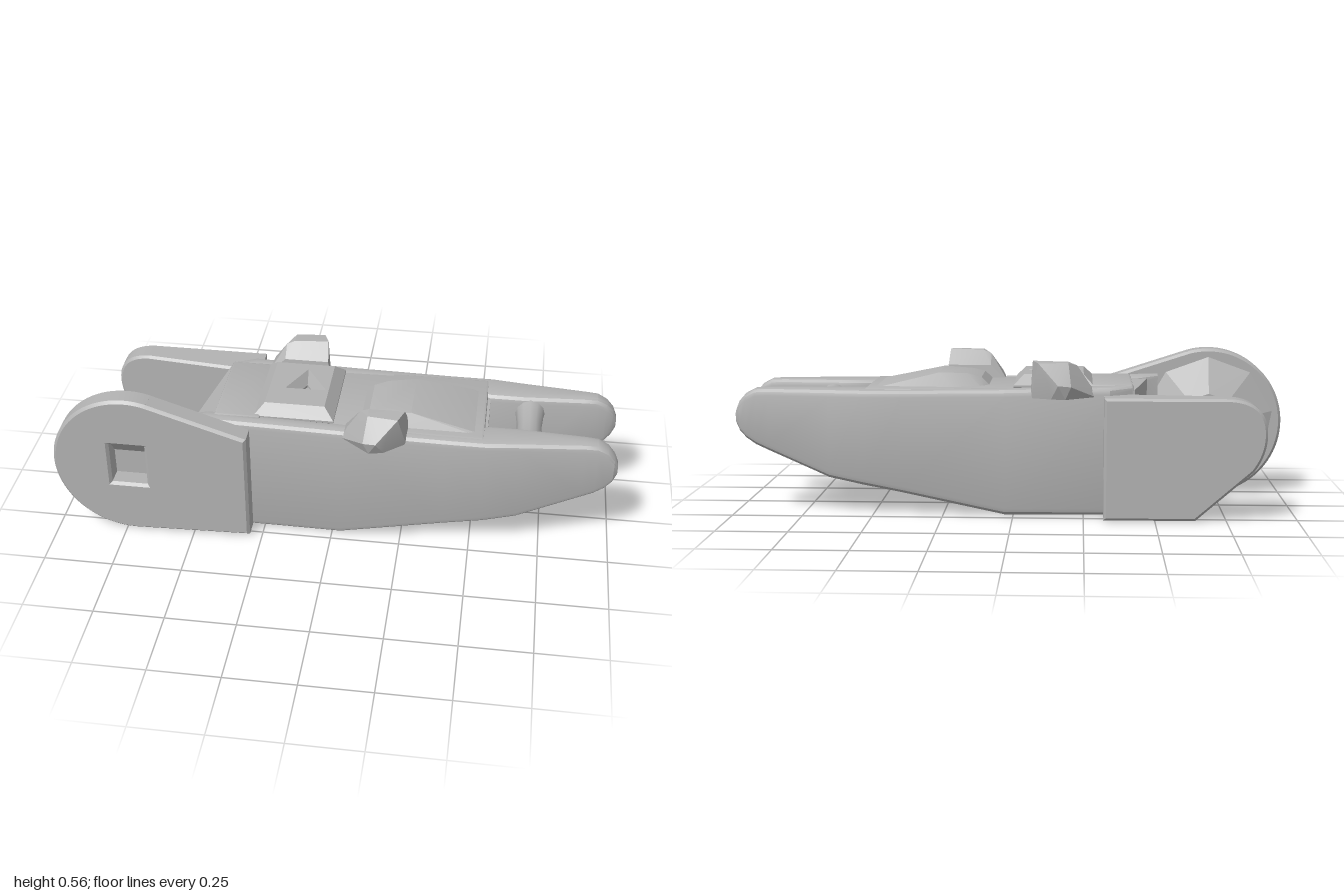
import * as THREE from 'three';
import { toCreasedNormals } from 'three/addons/utils/BufferGeometryUtils.js';
import { RoundedBoxGeometry } from 'three/addons/geometries/RoundedBoxGeometry.js';
import { ConvexGeometry } from 'three/addons/geometries/ConvexGeometry.js';

const hullGrey = new THREE.MeshStandardMaterial({ color: 0xb2b2b2 });
hullGrey.name = 'hull grey';

export function createModel() {
  const model = new THREE.Group();

  const add = (name, geometry, crease = 0.45) => {
    const mesh = new THREE.Mesh(toCreasedNormals(geometry, crease), hullGrey);
    mesh.name = name;
    model.add(mesh);
    return mesh;
  };
  const vec = (p) => new THREE.Vector2(p[0], p[1]);
  const shapeOf = (points) => new THREE.Shape(points.map(vec));
  const hull = (points) => new ConvexGeometry(points.map((q) => new THREE.Vector3(...q)));

  // Bevelled slab whose outer outline and faces land exactly on the given sizes
  const slab = (shape, z0, z1, bevel) => {
    const g = new THREE.ExtrudeGeometry(shape, {
      depth: z1 - z0 - 2 * bevel, bevelSize: bevel, bevelThickness: bevel,
      bevelOffset: -bevel, bevelSegments: 1, curveSegments: 24,
    });
    return g.translate(0, 0, z0 + bevel);
  };
  const box = (name, x0, x1, y0, y1, z0, z1, r = 0.008) => {
    const g = new RoundedBoxGeometry(x1 - x0, y1 - y0, z1 - z0, 1, r);
    return add(name, g.translate((x0 + x1) / 2, (y0 + y1) / 2, (z0 + z1) / 2));
  };

  // Side beam: rounded sections [x, bottom, top, inner z, outer z] joined along x
  const beam = (stations, side) => {
    const pos = [], index = [], n = 16;
    const tri = (a, b, c) => (side > 0 ? index.push(a, b, c) : index.push(a, c, b));
    for (const [x, y0, y1, zi, zo] of stations) {
      const r = Math.min(0.026, (zo - zi) * 0.45, (y1 - y0) * 0.45);
      for (let k = 0; k < n; k++) {
        const q = Math.floor(k / 4), a = (q + (k % 4) / 3) * Math.PI / 2;
        const z = (q === 0 || q === 3 ? zo - r : zi + r) + r * Math.cos(a);
        const y = (q < 2 ? y1 - r : y0 + r) + r * Math.sin(a);
        pos.push(x, y, side * z);
      }
    }
    for (let i = 0; i < stations.length - 1; i++) {
      for (let k = 0; k < n; k++) {
        const a = i * n + k, b = i * n + (k + 1) % n;
        tri(a, a + n, b);
        tri(b, a + n, b + n);
      }
    }
    const last = (stations.length - 1) * n;
    for (let k = 1; k < n - 1; k++) {
      tri(0, k, k + 1);
      tri(last, last + k + 1, last + k);
    }
    const g = new THREE.BufferGeometry();
    g.setAttribute('position', new THREE.Float32BufferAttribute(pos, 3));
    g.setIndex(index);
    return g;
  };

  // Long side beams ending in the two tapered prongs, with an inner bottom flange
  for (const side of [1, -1]) {
    const name = side > 0 ? 'left' : 'right';
    const rear = side > 0
      ? [[-0.53, 0.01, 0.465, 0.19, 0.22], [-0.45, 0.005, 0.465, 0.15, 0.22]]
      : [[-0.42, 0.005, 0.465, 0.14, 0.175], [-0.34, 0.005, 0.465, 0.15, 0.22]];
    add(name + 'Beam', beam([
      ...rear,
      [0.03, 0.002, 0.455, 0.15, 0.22],
      [0.4, 0.08, 0.45, 0.14, 0.22],
      [0.54, 0.107, 0.45, 0.09, 0.22],
      [0.66, 0.13, 0.45, 0.09, 0.206],
      [0.88, 0.222, 0.45, 0.104, 0.184],
      [0.925, 0.242, 0.448, 0.107, 0.181],
      [0.96, 0.265, 0.43, 0.11, 0.178],
      [0.985, 0.292, 0.402, 0.118, 0.174],
      [0.999, 0.322, 0.368, 0.13, 0.162],
    ], side));
    const [z0, z1] = [0.115 * side, 0.17 * side].sort((a, b) => a - b);
    box(name + 'Flange', -0.35, -0.05, 0.005, 0.12, z0, z1);
  }

  // Teardrop plate with a square recess
  const tear = new THREE.Shape();
  tear.moveTo(-0.292, 0.015);
  tear.lineTo(-0.292, 0.435);
  tear.lineTo(-0.64, 0.548);
  tear.absarc(-0.72, 0.281, 0.279, 1.28, Math.PI * 1.5, false);
  tear.closePath();
  tear.holes.push(new THREE.Path([[-0.79, 0.205], [-0.79, 0.37], [-0.66, 0.37], [-0.66, 0.205]].map(vec)));
  add('teardropPlate', slab(tear, 0.208, 0.29, 0.01));

  // Sloped upper wall inside the recess
  add('recessWedge', hull([-0.8, -0.65].flatMap((x) => [
    [x, 0.38, 0.278], [x, 0.38, 0.21], [x, 0.29, 0.21],
  ])), 0.1);

  // Faceted dome on the inner face of the teardrop
  const dome = new THREE.CylinderGeometry(0.115, 0.276, 0.068, 9, 1);
  dome.rotateX(-Math.PI / 2).translate(-0.72, 0.281, 0.186);
  add('teardropDome', dome, 0.05);

  // Opposite plate: rounded tail, chamfered lower corner, thicker toward the hull
  const tail = new THREE.Shape();
  tail.moveTo(-0.32, 0.005);
  tail.lineTo(-0.32, 0.435);
  tail.lineTo(-0.76, 0.435);
  tail.quadraticCurveTo(-0.885, 0.425, -0.885, 0.31);
  tail.quadraticCurveTo(-0.885, 0.24, -0.84, 0.18);
  tail.lineTo(-0.64, 0.005);
  tail.closePath();
  const tailGeo = slab(tail, -0.296, -0.218, 0.009);
  const p = tailGeo.attributes.position;
  for (let i = 0; i < p.count; i++) {
    if (p.getZ(i) > -0.26) p.setZ(i, p.getZ(i) + 0.1 * (p.getX(i) + 0.885));
  }
  add('tailPlate', tailGeo);

  // Slanted rear wall between the beams
  add('rearWall', hull([0.01, 0.45].flatMap((y) => [
    [-0.43, y, -0.165], [-0.38, y, -0.165], [-0.38, y, 0.18], [-0.49, y, 0.18], [-0.465, y, 0.1],
  ])), 0.1);

  // Rear frame, floor beam and deck between the beams
  box('rearDeck', -0.425, -0.26, 0.36, 0.468, -0.17, 0.185);
  box('mainDeck', -0.3, 0.53, 0.35, 0.453, -0.19, 0.19);
  box('floorBeam', -0.42, -0.27, 0.005, 0.12, -0.17, 0.17);

  // Centre body with a notched nose
  add('centreBody', slab(shapeOf([
    [0.12, 0.12], [0.34, 0.12], [0.39, 0.15], [0.37, 0.2], [0.31, 0.21],
    [0.37, 0.335], [0.54, 0.34], [0.54, 0.43], [0.12, 0.44],
  ]), -0.15, 0.15, 0.008));

  // Low faceted hump on the front deck, sloping away to the nose and sides
  add('frontHump', hull([
    [0.08, 0.44, 0.165], [0.08, 0.44, -0.06], [0.11, 0.44, -0.11], [0.2, 0.44, -0.15],
    [0.53, 0.44, 0.165], [0.53, 0.44, -0.13],
    [0.12, 0.48, 0.14], [0.12, 0.48, -0.06], [0.16, 0.495, 0.1], [0.17, 0.495, -0.07],
    [0.27, 0.5, 0.13], [0.27, 0.5, -0.09], [0.5, 0.452, 0.15], [0.5, 0.452, -0.11],
  ]), 0.4);

  // Raised rear pad with a triangular recess
  const pad = shapeOf([[-0.285, -0.17], [0, -0.17], [0, 0.17], [-0.285, 0.17]]);
  pad.holes.push(new THREE.Path([[-0.15, -0.005], [-0.125, 0.05], [-0.09, -0.005]].map(vec)));
  add('rearPad', slab(pad, 0.42, 0.5, 0.036).rotateX(-Math.PI / 2), 0.2);

  // Flared crossbar between the prongs
  const bar = new THREE.LatheGeometry(
    [[0.062, -0.125], [0.05, -0.08], [0.044, 0], [0.046, 0.08], [0.056, 0.125]].map(vec), 12);
  add('crossbar', bar.rotateX(Math.PI / 2).translate(0.685, 0.385, 0), 0.6);

  // Faceted lugs, one on each shoulder, staggered along the hull
  const lug = [
    [0.03, 0.43, 0.15], [0.035, 0.43, 0.215], [0.055, 0.475, 0.21], [0.1, 0.54, 0.2],
    [0.13, 0.553, 0.25], [0.13, 0.553, 0.205], [0.255, 0.557, 0.21], [0.235, 0.553, 0.262],
    [0.12, 0.475, 0.305], [0.165, 0.48, 0.314], [0.2, 0.49, 0.29], [0.14, 0.43, 0.297],
    [0.19, 0.43, 0.285], [0.262, 0.425, 0.215], [0.265, 0.425, 0.15], [0.26, 0.5, 0.158],
    [0.1, 0.5, 0.158],
  ];
  for (const [name, side, dx] of [['leftLug', 1, 0], ['rightLug', -1, -0.325]]) {
    add(name, hull(lug.map(([x, y, z]) => [x + dx, y, side * z])), 0.3);
  }

  return model;
}
